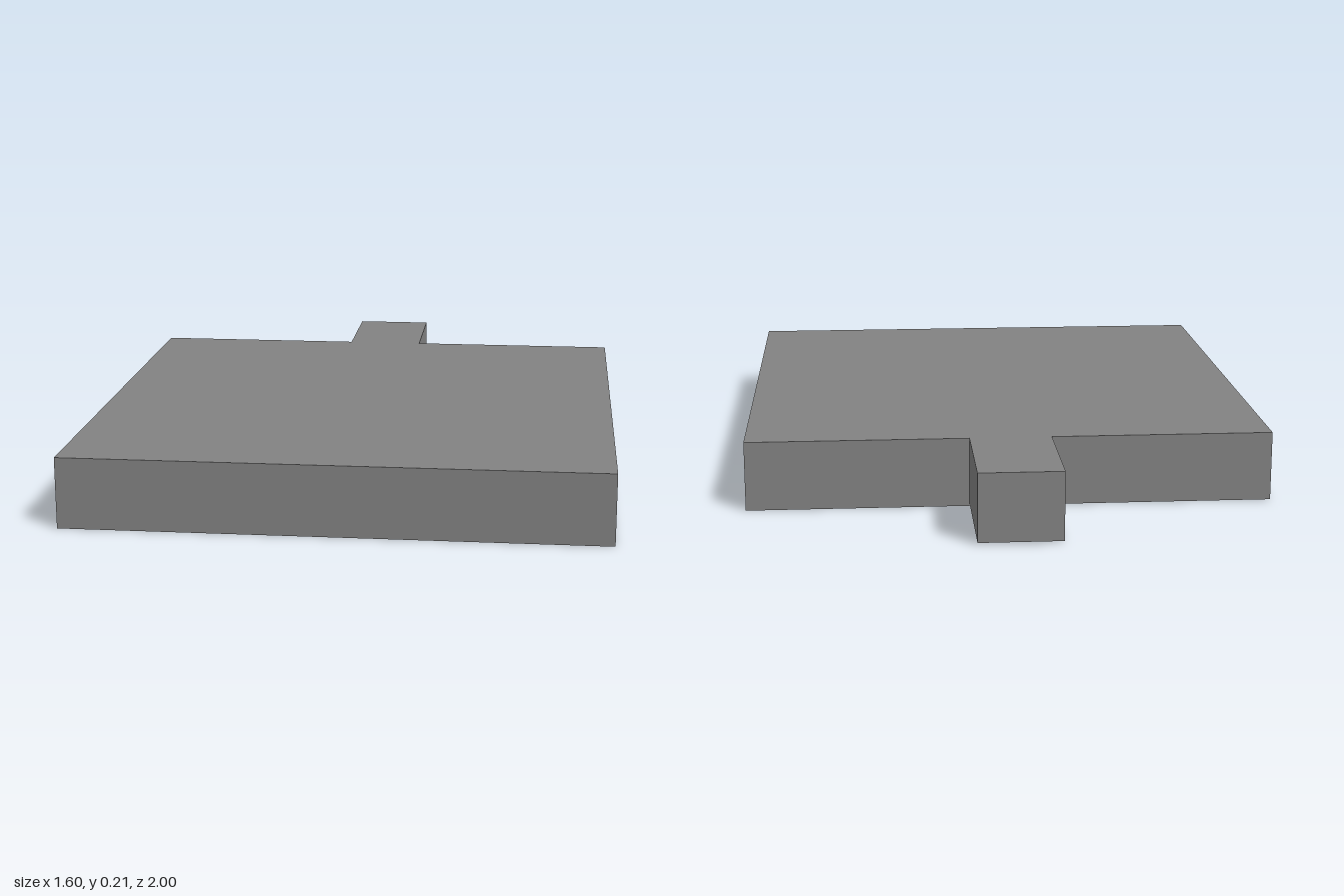
import * as THREE from 'three';

export function createModel() {
  const group = new THREE.Group();
  const material = new THREE.MeshStandardMaterial({ color: 0x828282, flatShading: true });

  // Box given by its extents on each axis
  function block(name, [x0, x1], [y0, y1], [z0, z1]) {
    const mesh = new THREE.Mesh(new THREE.BoxGeometry(x1 - x0, y1 - y0, z1 - z0), material);
    mesh.position.set((x0 + x1) / 2, (y0 + y1) / 2, (z0 + z1) / 2);
    mesh.name = name;
    group.add(mesh);
  }

  // Main slab on a thin base sheet
  block('slab', [-0.802, 0.802], [0.006, 0.213], [-0.625, 1]);
  block('baseSheet', [-0.802, 0.802], [0, 0.006], [-0.625, 1]);

  // Tab at the back, flush with the top and just clear of the ground
  block('backTab', [-0.125, 0.125], [0.006, 0.213], [-1, -0.625]);

  return group;
}
